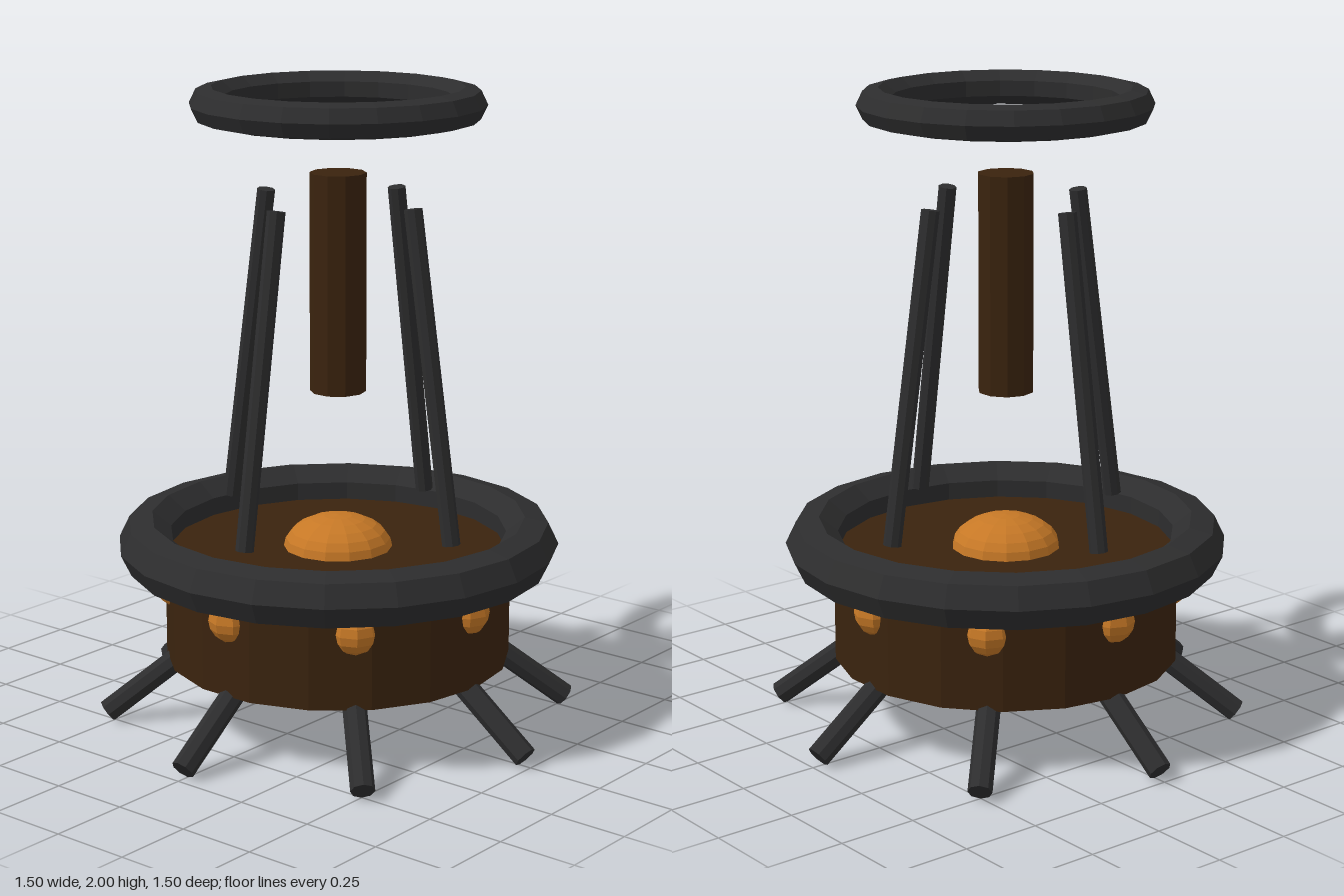
import * as THREE from 'three';

export function createModel() {
  const model = new THREE.Group();
  const flat = (name, color) => {
    const m = new THREE.MeshStandardMaterial({ color, flatShading: true });
    m.name = name;
    return m;
  };
  const iron = flat('dark iron', 0x2d2d2e);
  const wood = flat('dark brown', 0x3a230e);
  const amber = flat('amber', 0xc67826);

  const add = (name, geometry, material, parent = model) => {
    const mesh = new THREE.Mesh(geometry, material);
    mesh.name = name;
    parent.add(mesh);
    return mesh;
  };

  // Round bar between two points [radius, height] in the plane through +z
  const bar = (name, from, to, radius, sides, parent) => {
    const a = new THREE.Vector3(0, from[1], from[0]);
    const b = new THREE.Vector3(0, to[1], to[0]);
    const mesh = add(name, new THREE.CylinderGeometry(radius, radius, a.distanceTo(b), sides), iron, parent);
    mesh.position.copy(a).add(b).multiplyScalar(0.5);
    mesh.quaternion.setFromUnitVectors(new THREE.Vector3(0, 1, 0), b.sub(a).normalize());
  };

  // Repeats a part evenly around the vertical axis
  const around = (name, count, build) => {
    for (let i = 0; i < count; i++) {
      const arm = new THREE.Group();
      arm.name = name;
      arm.rotation.y = (i / count) * Math.PI * 2;
      build(arm);
      model.add(arm);
    }
  };

  // Drum body and floating central post
  add('drum', new THREE.CylinderGeometry(0.541, 0.541, 0.347, 18), wood).position.y = 0.3835;
  add('centralPost', new THREE.CylinderGeometry(0.087, 0.087, 0.68, 10), wood).position.y = 1.398;

  // Rim around the drum and floating crown ring
  const ring = (name, radius, tube, y) => {
    const mesh = add(name, new THREE.TorusGeometry(radius, tube, 7, 20), iron);
    mesh.rotation.x = Math.PI / 2;
    mesh.position.y = y;
  };
  ring('drumRim', 0.603, 0.086, 0.576);
  ring('crownRing', 0.396, 0.0553, 1.946);

  // Low glowing dome on the drum top
  const dome = add('dome', new THREE.SphereGeometry(0.17, 14, 6, 0, Math.PI * 2, 0, Math.PI / 2), amber);
  dome.scale.y = 0.6;
  dome.position.y = 0.557;

  // Leaning struts
  around('strutArm', 4, (arm) => bar('strut', [0.443, 0.645], [0.288, 1.657], 0.028, 8, arm));

  // Splayed legs and studs
  around('legArm', 8, (arm) => {
    bar('leg', [0.45, 0.245], [0.73, 0.033], 0.037, 8, arm);
    add('stud', new THREE.SphereGeometry(0.07, 8, 8), amber, arm).position.set(0, 0.445, 0.505);
  });

  return model;
}
